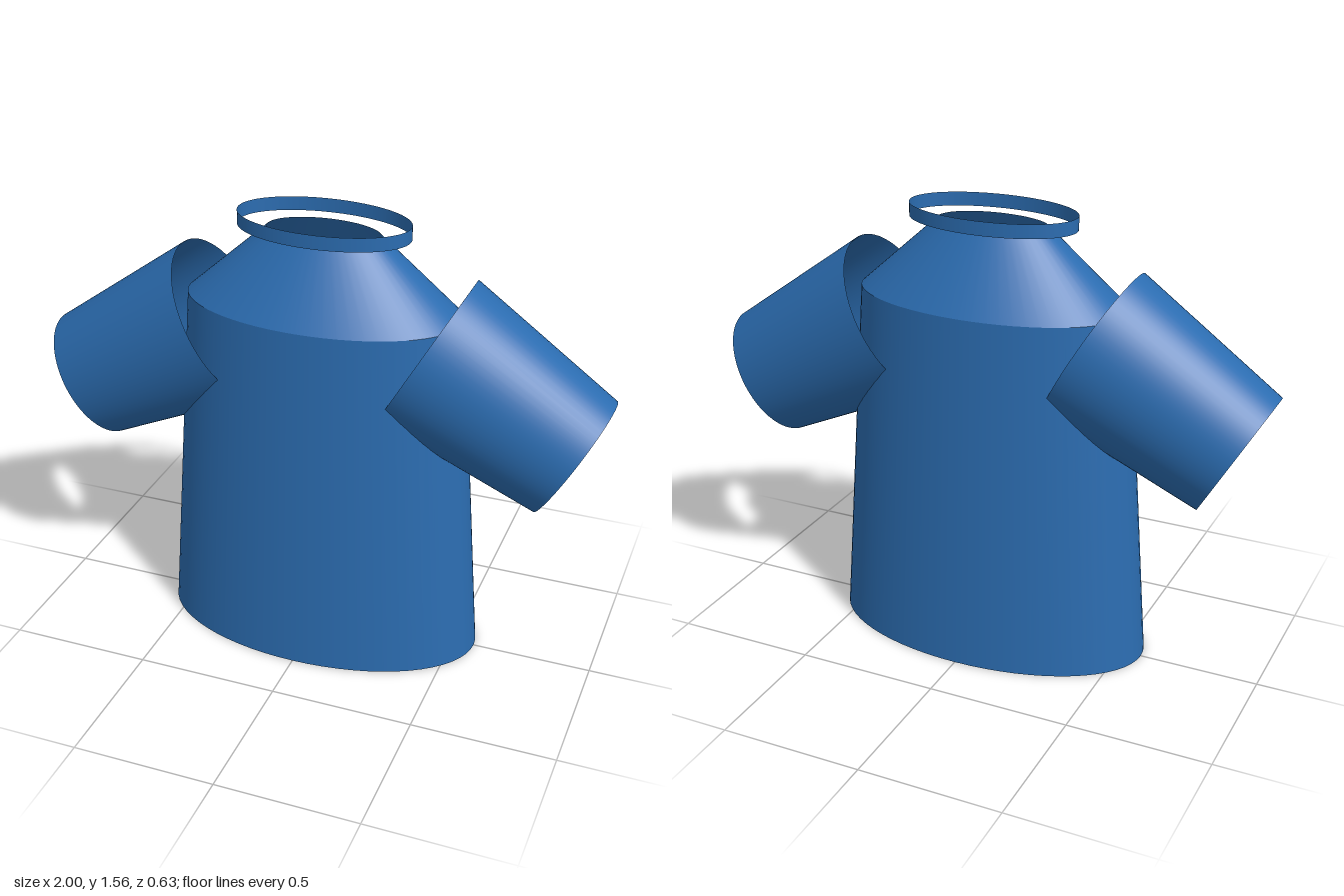
import * as THREE from 'three';

export function createModel() {
  const model = new THREE.Group();
  model.name = 'shirt';
  const fabric = new THREE.MeshStandardMaterial({ color: 0x2b6cb0, side: THREE.DoubleSide });
  fabric.name = 'blue fabric';

  // Open tapered tube with an elliptical section; depth is the z/x ratio
  const tube = (name, rTop, rBottom, height, depth) => {
    const geometry = new THREE.CylinderGeometry(rTop, rBottom, height, 64, 1, true);
    geometry.scale(1, 1, depth);
    const mesh = new THREE.Mesh(geometry, fabric);
    mesh.name = name;
    model.add(mesh);
    return mesh;
  };

  // Torso, shoulder slope and collar band, stacked upward
  const shoulderY = 1.26, neckY = 1.515, topY = 1.563;
  tube('torso', 0.482, 0.578, shoulderY, 0.547).position.y = shoulderY / 2;
  tube('shoulders', 0.197, 0.482, neckY - shoulderY, 0.547).position.y = (shoulderY + neckY) / 2;
  tube('collar', 0.298, 0.298, topY - neckY, 0.55).position.y = (neckY + topY) / 2;

  // Sleeves: open at both ends, sloping 30 degrees down and out
  for (const side of [1, -1]) {
    const sleeve = tube(side > 0 ? 'leftSleeve' : 'rightSleeve', 0.295, 0.236, 0.596, 0.85);
    sleeve.position.set(side * 0.623, 0.995, 0);
    sleeve.rotation.z = side * Math.PI / 3;
  }
  return model;
}
